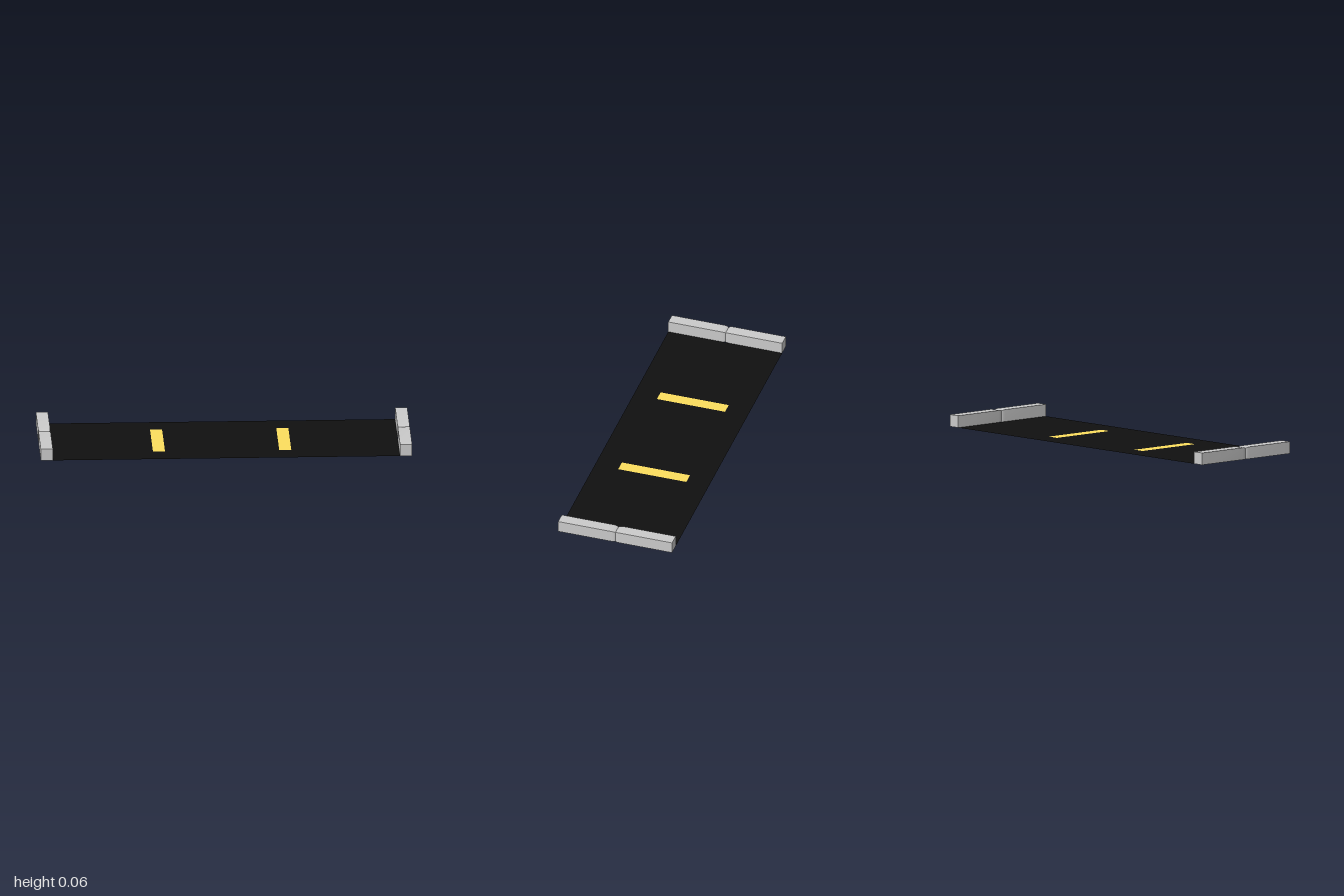
import * as THREE from 'three';
import { toCreasedNormals } from 'three/addons/utils/BufferGeometryUtils.js';

const HALF_WIDTH = 0.935, HALF_LENGTH = 0.322;
const CURB = { width: 0.065, height: 0.065 };
const STRIPE = { width: 0.065, near: 0.19, far: -0.195, centres: [-0.358, 0.322] };

// Curb stone from z = 0 to HALF_LENGTH, its sides and top eased in at the z = 0 joint
function curbGeometry() {
  const stations = [[0, 0.006], [0.002, 0.004], [0.008, 0.002], [0.022, 0], [HALF_LENGTH, 0]];
  const n = stations.length - 1;
  const geometry = new THREE.BoxGeometry(1, 1, 1, 1, 1, n);
  const p = geometry.attributes.position;
  for (let i = 0; i < p.count; i++) {
    const [z, inset] = stations[Math.round((p.getZ(i) + 0.5) * n)];
    p.setXYZ(
      i,
      Math.sign(p.getX(i)) * (CURB.width / 2 - inset),
      p.getY(i) > 0 ? CURB.height - inset : 0,
      z
    );
  }
  return toCreasedNormals(geometry, 0.7);
}

// Rectangle in the ground plane; shape y becomes -z once laid flat
function rectangle(Type, x0, x1, z0, z1) {
  return new Type([[x0, -z0], [x1, -z0], [x1, -z1], [x0, -z1]].map(([x, y]) => new THREE.Vector2(x, y)));
}

export function createModel() {
  const model = new THREE.Group();
  const stone = new THREE.MeshStandardMaterial({ color: 0xcccccc });
  const black = new THREE.MeshStandardMaterial({ color: 0x101010, side: THREE.DoubleSide });
  const yellow = new THREE.MeshStandardMaterial({ color: 0xfddf5e, side: THREE.DoubleSide });

  const add = (name, geometry, material) => {
    const mesh = new THREE.Mesh(geometry, material);
    mesh.name = name;
    model.add(mesh);
    return mesh;
  };
  const flat = (shape) => new THREE.ShapeGeometry(shape).rotateX(-Math.PI / 2);

  // Thin road surface with lane stripes set flush into it
  const road = rectangle(THREE.Shape, -HALF_WIDTH, HALF_WIDTH, HALF_LENGTH, -HALF_LENGTH);
  STRIPE.centres.forEach((x, i) => {
    const bounds = [x - STRIPE.width / 2, x + STRIPE.width / 2, STRIPE.near, STRIPE.far];
    road.holes.push(rectangle(THREE.Path, ...bounds));
    add(i ? 'leftLaneStripe' : 'rightLaneStripe', flat(rectangle(THREE.Shape, ...bounds)), yellow);
  });
  add('roadSurface', flat(road), black);

  // Two curb stones along each side, meeting at the middle
  const curb = curbGeometry();
  for (const side of [-1, 1]) {
    for (const end of [-1, 1]) {
      const name = (side > 0 ? 'left' : 'right') + (end > 0 ? 'Front' : 'Back') + 'Curb';
      const stoneMesh = add(name, curb, stone);
      stoneMesh.position.x = side * (1 - CURB.width / 2);
      stoneMesh.rotation.y = end > 0 ? 0 : Math.PI;
    }
  }
  return model;
}
